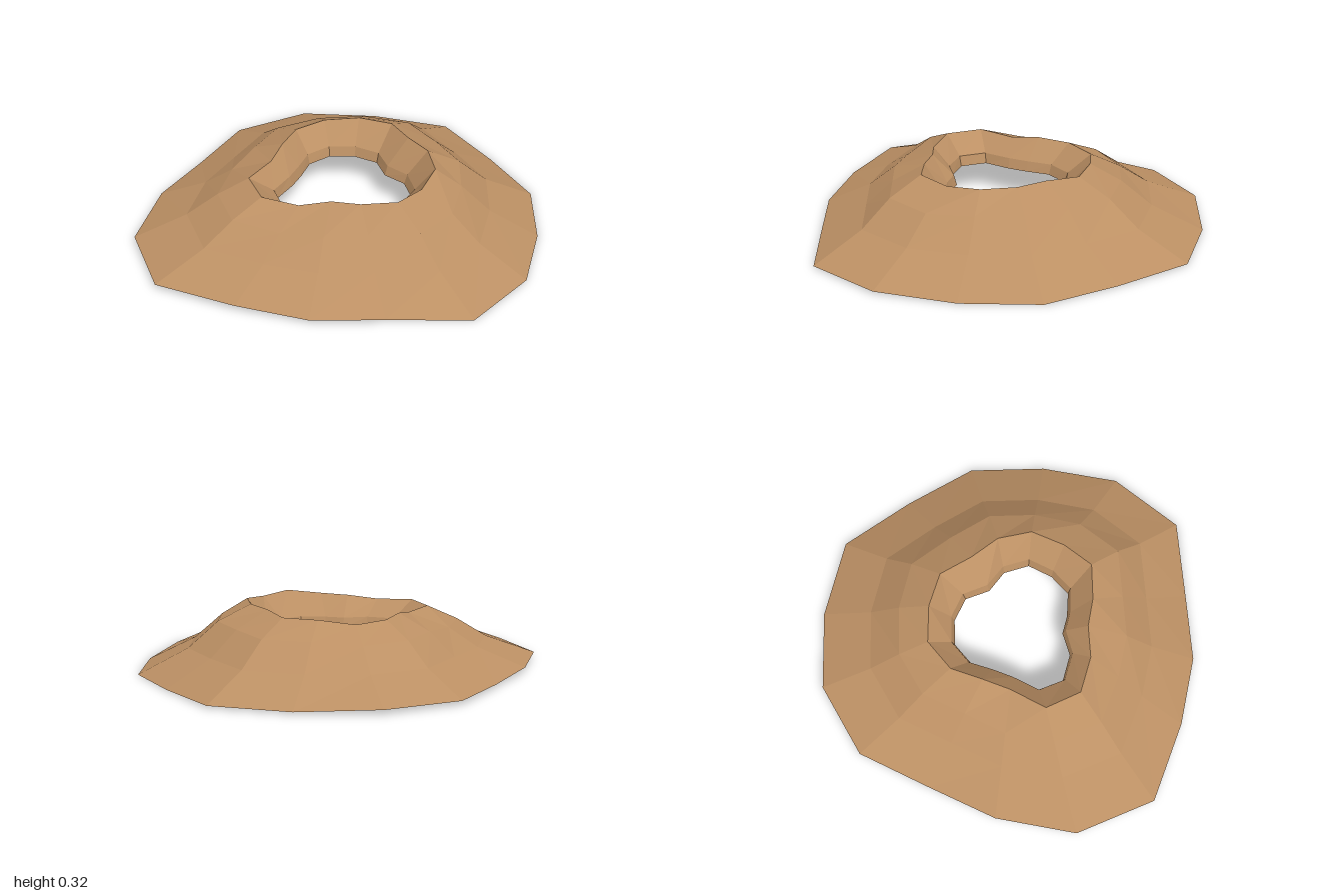
import * as THREE from 'three';

// Sixteen spokes, starting at +x and turning towards +z
const SPOKES = 16;
const CENTRE = 0.03;
const baseRadius = [0.97, 0.955, 1.005, 1.02, 0.868, 0.87, 0.91, 1.055, 1.03, 0.93, 0.885, 0.985, 1.01, 0.995, 1.03, 0.94];
const rimRadius = [0.42, 0.445, 0.435, 0.44, 0.365, 0.33, 0.39, 0.47, 0.465, 0.36, 0.36, 0.42, 0.46, 0.445, 0.45, 0.39];
const holeRadius = [0.305, 0.335, 0.315, 0.3, 0.24, 0.21, 0.28, 0.34, 0.33, 0.255, 0.25, 0.3, 0.33, 0.325, 0.31, 0.25];
const rimHeight = [0.325, 0.325, 0.31, 0.32, 0.305, 0.3, 0.28, 0.287, 0.285, 0.28, 0.3, 0.295, 0.29, 0.31, 0.31, 0.32];

// Rings from the outer foot, over the rim, down into the hole: [radius, height] at spoke k
const rings = [
  k => [baseRadius[k], (0.325 - rimHeight[k]) * 0.6],
  k => [baseRadius[k] * 0.75, 0.12],
  k => [baseRadius[k] * 0.6, rimHeight[k] * 0.755],
  k => [rimRadius[k], rimHeight[k]],
  k => [holeRadius[k] + 0.015, 0.2],
  k => [holeRadius[k], 0.15],
];

// Joins neighbouring rings into one open faceted band
function bandGeometry(ringList) {
  const positions = [];
  const index = [];
  ringList.forEach((ring, r) => {
    for (let k = 0; k < SPOKES; k++) {
      const [radius, y] = ring(k);
      const angle = (k / SPOKES) * Math.PI * 2;
      positions.push(CENTRE + radius * Math.cos(angle), y, CENTRE + radius * Math.sin(angle));
      if (r === 0) continue;
      const next = (k + 1) % SPOKES;
      const a = (r - 1) * SPOKES + k, b = (r - 1) * SPOKES + next;
      const c = r * SPOKES + k, d = r * SPOKES + next;
      index.push(a, c, b, b, c, d);
    }
  });
  const indexed = new THREE.BufferGeometry();
  indexed.setAttribute('position', new THREE.Float32BufferAttribute(positions, 3));
  indexed.setIndex(index);
  const geometry = indexed.toNonIndexed();
  geometry.computeVertexNormals();
  return geometry;
}

export function createModel() {
  const group = new THREE.Group();
  group.name = 'crater';

  const earth = new THREE.MeshStandardMaterial({ color: 0xbc9064, flatShading: true, side: THREE.DoubleSide });
  earth.name = 'sandy earth';

  // Outer slope, from the foot up to the rim
  const slope = new THREE.Mesh(bandGeometry(rings.slice(0, 4)), earth);
  slope.name = 'outerSlope';

  // Inner wall, from the rim down to the open hole
  const wall = new THREE.Mesh(bandGeometry(rings.slice(3)), earth);
  wall.name = 'innerWall';

  group.add(slope, wall);
  return group;
}
